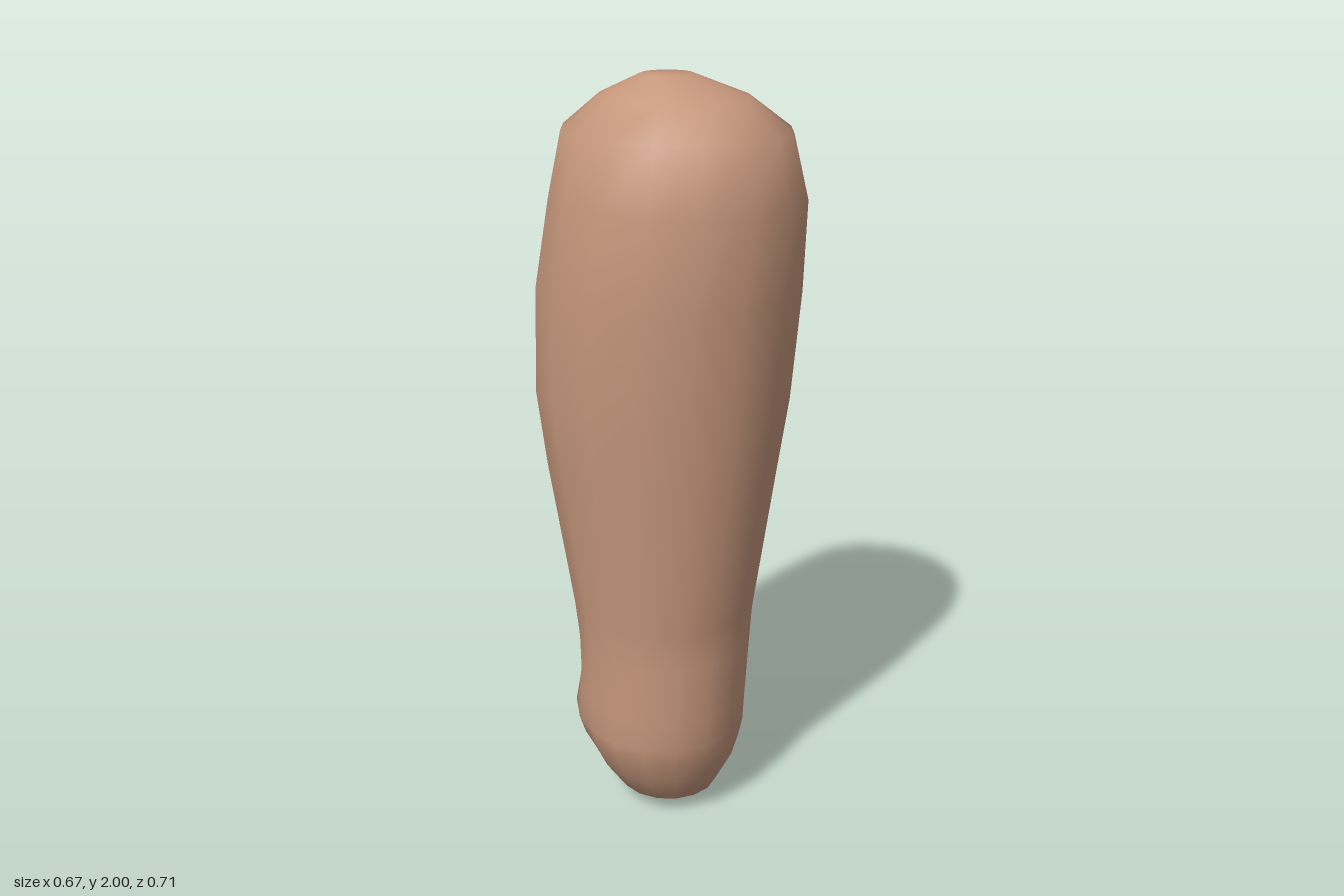
import * as THREE from 'three';

const SIDES = 16;

// Cross-sections from bottom to top: [y, xMin, xMax, zMin, zMax]
const RINGS = [
  [0.00, -0.085, 0.035, -0.04, 0.08],
  [0.05, -0.16, 0.11, -0.12, 0.155],
  [0.13, -0.21, 0.17, -0.185, 0.195],
  [0.20, -0.24, 0.195, -0.21, 0.215],
  [0.25, -0.25, 0.205, -0.22, 0.225],
  [0.33, -0.25, 0.205, -0.225, 0.23],
  [0.40, -0.25, 0.205, -0.23, 0.235],
  [0.50, -0.25, 0.21, -0.235, 0.24],
  [0.60, -0.255, 0.22, -0.25, 0.245],
  [1.00, -0.30, 0.275, -0.325, 0.30],
  [1.20, -0.32, 0.31, -0.355, 0.325],
  [1.48, -0.335, 0.333, -0.337, 0.345],
  [1.71, -0.315, 0.31, -0.295, 0.358],
  [1.87, -0.28, 0.26, -0.26, 0.325],
  [1.95, -0.19, 0.155, -0.16, 0.22],
  [2.00, -0.09, 0.04, -0.05, 0.08],
];

// Small knob at the back near the lower end: how far it pushes out at a height and angle
function knob(y, angle) {
  const up = Math.max(0, 1 - Math.abs(y - 0.25) / (y > 0.25 ? 0.15 : 0.11));
  const around = Math.max(0, 1 - Math.abs(angle - Math.PI * 1.04) / 0.95);
  return 0.046 * up * around;
}

function limbGeometry() {
  const pos = [], index = [];
  for (const [y, x0, x1, z0, z1] of RINGS) {
    const cx = (x0 + x1) / 2, cz = (z0 + z1) / 2;
    for (let k = 0; k < SIDES; k++) {
      const a = (k / SIDES) * Math.PI * 2, push = knob(y, a);
      pos.push(
        cx + ((x1 - x0) / 2 + push) * Math.sin(a),
        y,
        cz + ((z1 - z0) / 2 + push) * Math.cos(a)
      );
    }
  }
  // Poles closing both ends
  const last = (RINGS.length - 1) * SIDES, bottom = RINGS.length * SIDES, top = bottom + 1;
  pos.push(-0.025, 0, 0.02, -0.025, 2, 0.015);

  for (let k = 0; k < SIDES; k++) {
    const n = (k + 1) % SIDES;
    for (let r = 0; r < last; r += SIDES) {
      const a = r + k, b = r + n, c = b + SIDES, d = a + SIDES;
      index.push(a, b, c, a, c, d);
    }
    index.push(bottom, n, k, top, last + k, last + n);
  }
  const geo = new THREE.BufferGeometry();
  geo.setAttribute('position', new THREE.Float32BufferAttribute(pos, 3));
  geo.setIndex(index);
  geo.computeVertexNormals();
  return geo;
}

export function createModel() {
  const group = new THREE.Group();
  const limb = new THREE.Mesh(limbGeometry(), new THREE.MeshStandardMaterial({ color: 0xc6977c }));
  limb.name = 'limb';
  group.add(limb);
  return group;
}
